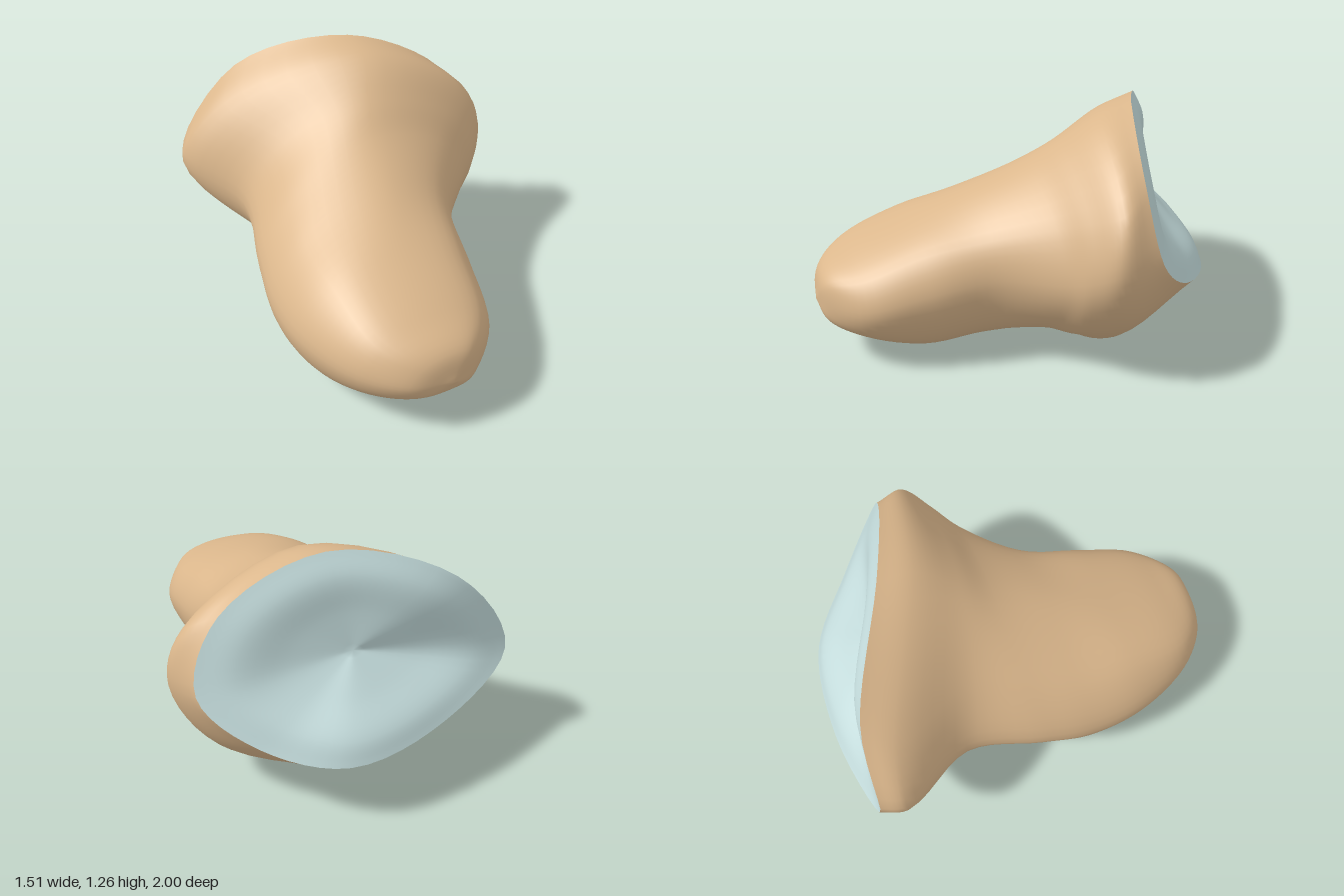
import * as THREE from 'three';
import { mergeVertices } from 'three/addons/utils/BufferGeometryUtils.js';

const AROUND = 48;
const vec = (p) => new THREE.Vector3(...p);

// Every ring runs right, top right, top, top left, left, bottom left, bottom, bottom right.
const flatRing = (z, pts) => pts.map(([x, y]) => vec([x, y, z]));
const ring = (pts) => pts.map(vec);
const pole = (p) => Array.from({ length: 8 }, () => vec(p));

// Smooth skin through a list of rings, closed around and open lengthwise.
function loft(rings, steps) {
  const loops = rings.map((r) => new THREE.CatmullRomCurve3(r, true, 'centripetal'));
  const pos = [];
  const index = [];
  for (let j = 0; j < AROUND; j++) {
    const column = new THREE.CatmullRomCurve3(loops.map((l) => l.getPoint(j / AROUND)));
    for (let i = 0; i <= steps; i++) pos.push(...column.getPoint(i / steps).toArray());
  }
  const at = (i, j) => (j % AROUND) * (steps + 1) + i;
  for (let j = 0; j < AROUND; j++) {
    for (let i = 0; i < steps; i++) {
      const a = at(i, j), b = at(i, j + 1), c = at(i + 1, j), d = at(i + 1, j + 1);
      index.push(a, c, b, b, c, d);
    }
  }
  let geo = new THREE.BufferGeometry();
  geo.setAttribute('position', new THREE.Float32BufferAttribute(pos, 3));
  geo.setIndex(index);
  geo = mergeVertices(geo, 1e-4);
  geo.computeVertexNormals();
  return geo;
}

export function createModel() {
  const group = new THREE.Group();
  group.name = 'bone';

  // Rounded head and neck: upright sections from the front backwards
  const head = [
    pole([-0.17, 0.31, 1]),
    flatRing(0.96, [[-0.03, 0.32], [-0.06, 0.42], [-0.17, 0.45], [-0.31, 0.42], [-0.38, 0.33], [-0.32, 0.25], [-0.17, 0.22], [-0.05, 0.24]]),
    flatRing(0.8, [[0.15, 0.33], [0.07, 0.48], [-0.2, 0.55], [-0.46, 0.5], [-0.55, 0.34], [-0.48, 0.2], [-0.2, 0.13], [0.07, 0.18]]),
    flatRing(0.5, [[0.24, 0.4], [0.14, 0.6], [-0.17, 0.68], [-0.5, 0.6], [-0.67, 0.35], [-0.58, 0.12], [-0.25, 0], [0.1, 0.1]]),
    flatRing(0.2, [[0.31, 0.46], [0.24, 0.68], [-0.08, 0.81], [-0.5, 0.65], [-0.69, 0.36], [-0.6, 0.13], [-0.22, 0.02], [0.15, 0.14]]),
    flatRing(-0.05, [[0.54, 0.5], [0.42, 0.78], [0, 0.94], [-0.42, 0.75], [-0.65, 0.42], [-0.52, 0.2], [-0.12, 0.11], [0.28, 0.18]]),
  ];

  // Slanted sections of the flared rear end
  const waist = ring([[0.66, 0.55, -0.14], [0.55, 0.85, -0.16], [0.05, 1.06, -0.2], [-0.36, 0.86, -0.33],
    [-0.57, 0.52, -0.42], [-0.44, 0.25, -0.35], [0.02, 0.09, -0.18], [0.46, 0.22, -0.18]]);
  const collar = ring([[0.75, 0.62, -0.25], [0.67, 0.92, -0.27], [0.12, 1.2, -0.38], [-0.52, 0.95, -0.7],
    [-0.75, 0.6, -0.78], [-0.45, 0.25, -0.65], [0.15, 0.03, -0.37], [0.58, 0.27, -0.35]]);
  const rim = ring([[0.73, 0.68, -0.45], [0.58, 1.02, -0.41], [0.12, 1.25, -0.55], [-0.4, 1.08, -0.83],
    [-0.71, 0.6, -0.91], [-0.25, 0.44, -1], [0.25, 0.38, -0.94], [0.56, 0.46, -0.68]]);

  const body = new THREE.Mesh(
    loft([...head, waist, collar, rim], 48),
    new THREE.MeshStandardMaterial({ color: 0xdbb78c }),
  );
  body.name = 'boneBody';
  group.add(body);

  // Dished joint face: the rim shrinks to a sunken middle, with a soft shoulder
  const middle = vec([0.05, 0.78, -0.68]);
  const outward = vec([0.35, 0.2, -0.9]);
  const inset = (k, lift) => rim.map((p) => middle.clone().lerp(p, k).addScaledVector(outward, lift));
  const face = new THREE.Mesh(
    loft([rim, inset(0.75, 0.035), inset(0.4, 0.015), pole(middle.toArray())], 18),
    new THREE.MeshStandardMaterial({ color: 0xc4dcdc }),
  );
  face.name = 'jointFace';
  group.add(face);

  return group;
}
